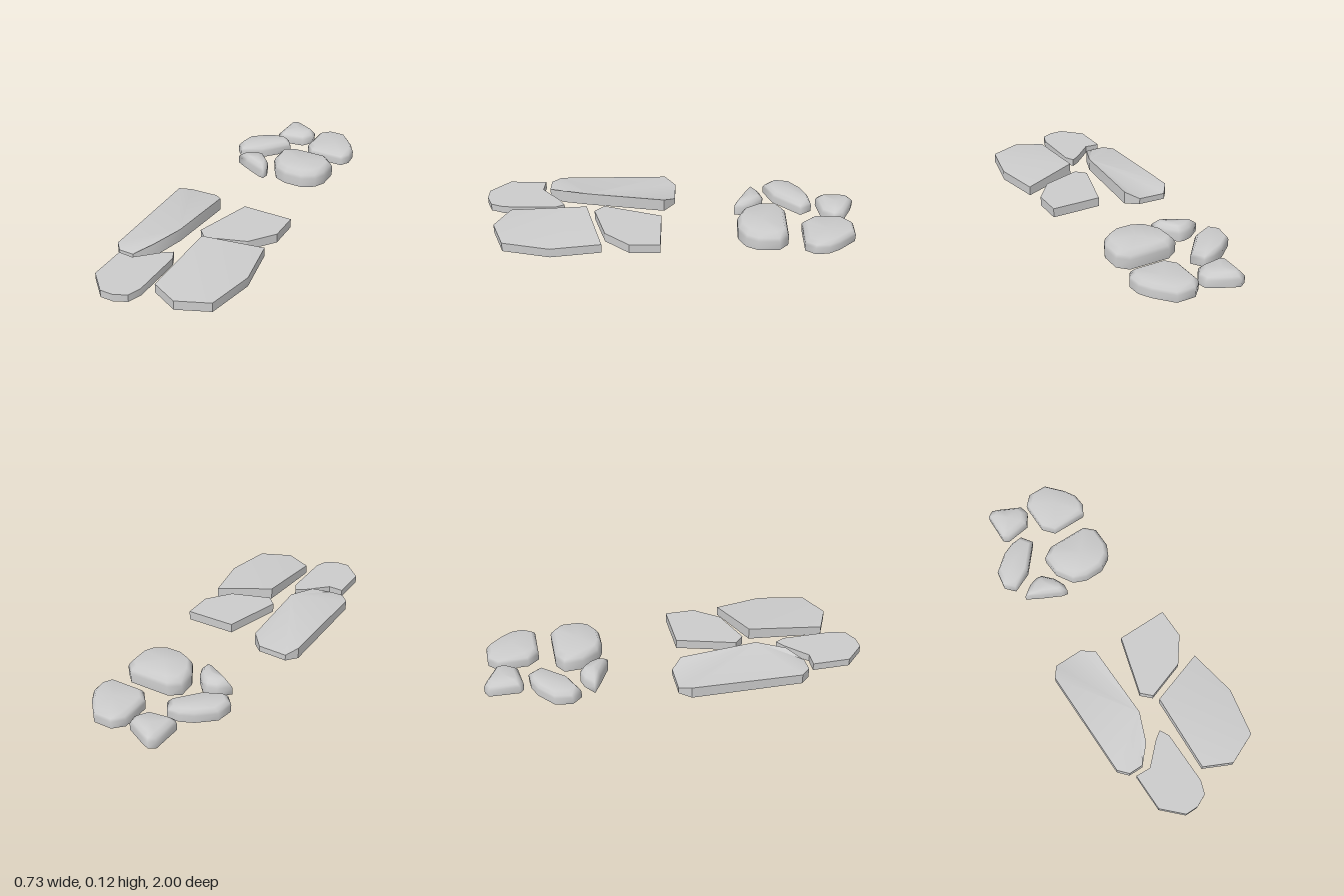
import * as THREE from 'three';
import { toCreasedNormals } from 'three/addons/utils/BufferGeometryUtils.js';

const material = new THREE.MeshStandardMaterial({ color: 0xcccccc, side: THREE.DoubleSide });

// Stacks closed rings of [x, y, z] points from bottom to top and fans the top; the underside stays open.
function loft(rings, hub) {
  const n = rings[0].length;
  const points = rings.flat();
  const index = [];
  for (let r = 0; r < rings.length - 1; r++) {
    for (let i = 0; i < n; i++) {
      const a = r * n + i, b = r * n + (i + 1) % n;
      index.push(a, b, b + n, a, b + n, a + n);
    }
  }
  const top = (rings.length - 1) * n;
  if (hub) {
    points.push(hub);
    for (let i = 0; i < n; i++) index.push(top + i, top + (i + 1) % n, points.length - 1);
  } else {
    for (let i = 1; i < n - 1; i++) index.push(top, top + i, top + i + 1);
  }
  const geometry = new THREE.BufferGeometry();
  geometry.setAttribute('position', new THREE.Float32BufferAttribute(points.flat(), 3));
  geometry.setIndex(index);
  geometry.computeVertexNormals();
  return geometry;
}

function addPart(group, name, geometry) {
  const mesh = new THREE.Mesh(geometry, material);
  mesh.name = name;
  group.add(mesh);
}

// Slab corners: [x, z, own top height, own bottom height]
const slabs = [
  { name: 'largeSlab', top: 0.078, bottom: 0.028, outline: [
    [0.02, 0.44, 0.113, 0.05], [0.005, 0.85], [0.15, 0.92], [0.315, 0.85], [0.365, 0.6], [0.32, 0.34]] },
  { name: 'innerSlab', top: 0.078, bottom: 0.028, outline: [
    [0.05, 0.04], [-0.04, 0.35], [0.01, 0.4], [0.22, 0.33], [0.32, 0.2], [0.32, 0.04]] },
  { name: 'longTiltedSlab', top: 0.057, bottom: 0.003, outline: [
    [-0.105, 0.44, 0.113, 0.045], [-0.105, 0.03, 0.078, 0.008], [-0.165, -0.03, 0.05, 0.018],
    [-0.32, -0.03, 0.045, 0.012], [-0.365, 0.03, 0.07, 0.008], [-0.365, 0.62], [-0.32, 0.67],
    [-0.24, 0.67], [-0.165, 0.59, 0.095, 0.022]] },
  { name: 'frontSlab', top: 0.068, bottom: 0.028, outline: [
    [-0.13, 1], [-0.065, 0.97], [-0.04, 0.9], [-0.04, 0.62], [-0.065, 0.57], [-0.11, 0.6],
    [-0.22, 0.705], [-0.3, 0.7], [-0.3, 0.9], [-0.2, 1]] },
];

// Rounded stones: outline corners [x, z], full height and size of the flat crown
const stones = [
  { name: 'largeStone', top: 0.125, crown: 0.82, outline: [
    [0.24, -0.62], [0.02, -0.62], [-0.04, -0.58], [-0.035, -0.48], [0.02, -0.39], [0.09, -0.36],
    [0.19, -0.36], [0.26, -0.4], [0.29, -0.46], [0.29, -0.57]] },
  { name: 'backStone', top: 0.1, crown: 0.82, outline: [
    [0.2, -0.97], [0.1, -0.97], [0.05, -0.92], [0.05, -0.76], [0.1, -0.7], [0.29, -0.7],
    [0.32, -0.75], [0.315, -0.82], [0.28, -0.88]] },
  { name: 'cornerStone', top: 0.1, crown: 0.68, outline: [
    [-0.13, -1], [-0.165, -0.98], [-0.17, -0.82], [-0.145, -0.8], [-0.01, -0.82], [0.03, -0.88],
    [0.02, -0.93], [-0.09, -0.985]] },
  { name: 'sideStone', top: 0.1, crown: 0.8, outline: [
    [-0.08, -0.77], [-0.14, -0.765], [-0.21, -0.735], [-0.3, -0.66], [-0.315, -0.57],
    [-0.27, -0.52], [-0.16, -0.57], [-0.04, -0.71]] },
  { name: 'smallStone', top: 0.108, crown: 0.65, outline: [
    [-0.14, -0.51], [-0.19, -0.495], [-0.25, -0.45], [-0.18, -0.41], [-0.07, -0.355],
    [-0.04, -0.35], [-0.035, -0.39], [-0.06, -0.45], [-0.11, -0.505]] },
];

export function createModel() {
  const model = new THREE.Group();
  model.name = 'pavingStones';

  // Flat-sided slabs with crisp rims
  for (const { name, top, bottom, outline } of slabs) {
    const lower = outline.map(([x, z, , y = bottom]) => [x, y, z]);
    const upper = outline.map(([x, z, y = top]) => [x, y, z]);
    addPart(model, name, toCreasedNormals(loft([lower, upper]), 0.5));
  }

  // Soft stones: upright sides, then a shoulder drawn in to the crown
  const base = 0.03;
  for (const { name, top, crown, outline } of stones) {
    const cx = outline.reduce((sum, p) => sum + p[0], 0) / outline.length;
    const cz = outline.reduce((sum, p) => sum + p[1], 0) / outline.length;
    const ring = (height, scale) => outline.map(([x, z]) =>
      [cx + (x - cx) * scale, base + (top - base) * height, cz + (z - cz) * scale]);
    const rings = [ring(0, 0.99), ring(0.55, 1), ring(0.74, (1 + crown) / 2 + 0.04), ring(1, crown)];
    addPart(model, name, loft(rings, [cx, top, cz]));
  }
  return model;
}
